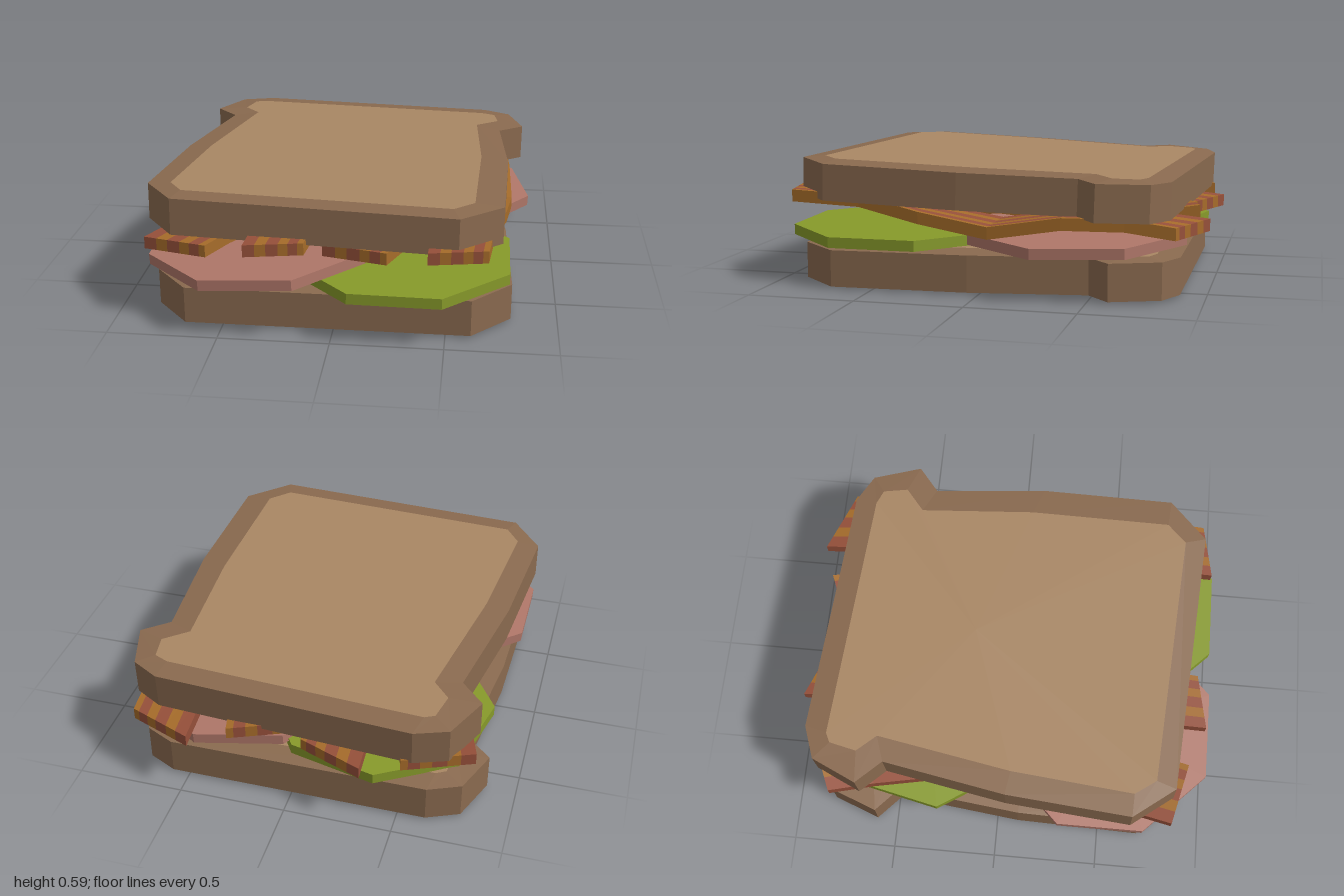
import * as THREE from 'three';

const mat = (color) => new THREE.MeshStandardMaterial({ color, flatShading: true, roughness: 1 });
const rad = THREE.MathUtils.degToRad;

// Joins rings of points (counter-clockwise seen from the last ring) with walls and/or end caps
function loft(rings, walls = true, caps = true) {
  const pos = [];
  const tri = (...pts) => pts.forEach((p) => pos.push(...p));
  const n = rings[0].length;
  if (walls) {
    for (let r = 0; r < rings.length - 1; r++) {
      for (let i = 0; i < n; i++) {
        const j = (i + 1) % n, a = rings[r], b = rings[r + 1];
        tri(a[i], a[j], b[j]);
        tri(a[i], b[j], b[i]);
      }
    }
  }
  if (caps) {
    [rings[0], rings[rings.length - 1]].forEach((ring, end) => {
      const mid = [0, 1, 2].map((k) => ring.reduce((s, p) => s + p[k], 0) / n);
      for (let i = 0; i < n; i++) {
        const a = ring[i], b = ring[(i + 1) % n];
        end ? tri(mid, a, b) : tri(mid, b, a);
      }
    });
  }
  const g = new THREE.BufferGeometry();
  g.setAttribute('position', new THREE.Float32BufferAttribute(pos, 3));
  g.computeVertexNormals();
  return g;
}

// Bread outline: outer x, z of the crust, then inner x, z of the crumb
const BREAD = [
  [-0.63, -0.885, -0.65, -0.778], [0.58, -0.885, 0.57, -0.78], [0.715, -0.82, 0.64, -0.755],
  [0.8, -0.595, 0.667, -0.638], [0.687, -0.49, 0.564, -0.541], [0.765, 0.05, 0.632, 0.01],
  [0.79, 0.69, 0.66, 0.688], [0.613, 0.88, 0.576, 0.784], [-0.67, 0.88, -0.647, 0.786],
  [-0.83, 0.695, -0.723, 0.692], [-0.815, 0.1, -0.703, 0.11], [-0.746, -0.49, -0.629, -0.537],
  [-0.864, -0.6, -0.715, -0.622], [-0.78, -0.82, -0.694, -0.753],
].reverse();

function breadSlice(name) {
  const outer = (y) => BREAD.map((p) => [p[0], y, p[1]]);
  const inner = (y) => BREAD.map((p) => [p[2], y, p[3]]);
  const g = new THREE.Group();
  g.name = name;
  const crust = new THREE.Mesh(loft([inner(0), outer(0.01), outer(0.18), inner(0.19)], true, false), mat(0x8a6a4f));
  crust.name = 'crust';
  const crumb = new THREE.Mesh(loft([inner(0), inner(0.19)], false, true), mat(0xa98764));
  crumb.name = 'crumb';
  g.add(crust, crumb);
  return g;
}

// Eight-sided filling slice; turn is the angle of its first corner in degrees
function fillingSlice(name, color, x, y, z, turn, tilt) {
  const ring = (h) => Array.from({ length: 8 }, (_, i) => {
    const a = rad(turn + i * 45);
    return [0.54 * Math.cos(a), h, -0.54 * Math.sin(a)];
  });
  const m = new THREE.Mesh(loft([ring(-0.025), ring(0.025)]), mat(color));
  m.name = name;
  m.position.set(x, y, z);
  m.rotation.z = rad(tilt);
  return m;
}

// Wavy bacon: stations run front to back as [left x, left z, right x, right z, y]
const BACON_BANDS = [0, 0.2, 0.38, 0.58, 0.74, 0.9, 1];
function baconStrip(stations, dx) {
  const g = new THREE.Group();
  g.name = 'baconStrip';
  for (let k = 0; k < BACON_BANDS.length - 1; k++) {
    const rings = stations.map(([x0, z0, x1, z1, y]) => {
      const at = (t, h) => [x0 + (x1 - x0) * t + dx, y + h, z0 + (z1 - z0) * t];
      const a = BACON_BANDS[k], b = BACON_BANDS[k + 1];
      return [at(b, -0.028), at(a, -0.028), at(a, 0.028), at(b, 0.028)];
    });
    const band = new THREE.Mesh(loft(rings), mat(k % 2 ? 0xa66c2a : 0x96503a));
    band.name = k % 2 ? 'baconFat' : 'baconMeat';
    g.add(band);
  }
  return g;
}

export function createModel() {
  const model = new THREE.Group();
  model.name = 'sandwich';

  // Bread
  const bottom = breadSlice('bottomBread');
  const top = breadSlice('topBread');
  top.position.y = 0.373;
  top.rotation.set(rad(-1.75), rad(-4), rad(-0.4));
  model.add(bottom, top);

  // Lettuce and ham
  const green = 0x879a2a, pink = 0xb07769;
  model.add(
    fillingSlice('frontLettuce', green, 0.28, 0.218, 0.5, 22.5, -0.6),
    fillingSlice('backLettuce', green, -0.3, 0.22, -0.39, 10, 1.2),
    fillingSlice('frontHam', pink, -0.37, 0.26, 0.5, 22.5, 2.9),
    fillingSlice('backHam', pink, 0.35, 0.246, -0.37, -11.5, -2.8),
  );

  // Bacon, two alternating waves
  const waveA = [
    [-0.85, 0.83, -0.56, 0.9, 0.37], [-0.8, 0.62, -0.5, 0.68, 0.345], [-0.71, 0.35, -0.41, 0.38, 0.3],
    [-0.7, 0, -0.4, 0, 0.345], [-0.72, -0.35, -0.42, -0.37, 0.31], [-0.77, -0.6, -0.46, -0.7, 0.315],
    [-0.83, -0.81, -0.52, -0.94, 0.345],
  ];
  const waveB = [
    [-0.38, 0.97, -0.12, 0.92, 0.41], [-0.37, 0.62, -0.09, 0.58, 0.4], [-0.33, 0.3, -0.04, 0.28, 0.34],
    [-0.31, -0.05, -0.01, -0.05, 0.288], [-0.32, -0.38, -0.02, -0.38, 0.34], [-0.34, -0.72, -0.04, -0.66, 0.34],
    [-0.35, -1, -0.05, -0.88, 0.31],
  ];
  for (const dx of [0, 0.8]) model.add(baconStrip(waveA, dx), baconStrip(waveB, dx));

  return model;
}
